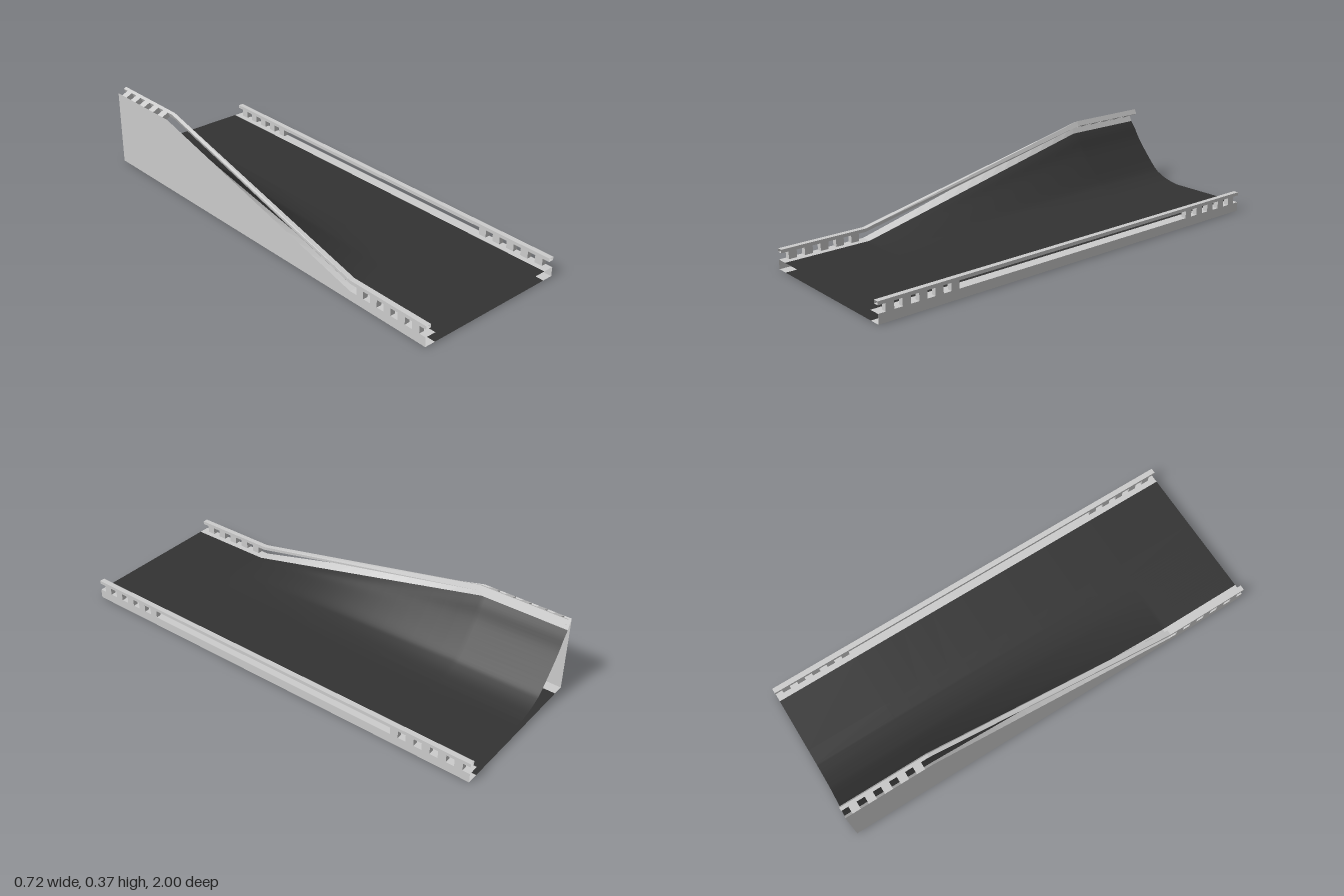
import * as THREE from 'three';

const HALF = 0.36, INNER = 0.31, DECK = 0.042, RAIL_W = 0.024;
const grey = new THREE.MeshStandardMaterial({ color: 0xcccccc, side: THREE.DoubleSide });
const dark = new THREE.MeshStandardMaterial({ color: 0x333333, side: THREE.DoubleSide });

// 0 on the flat front, 1 on the fully banked rear, linear between
const bank = z => THREE.MathUtils.clamp((0.6 - z) / 1.2, 0, 1);

// Point on an edge: s inward from the outer edge, h above the kerb; the right-hand (-x) edge banks
function edgePoint(side, s, h, z) {
  const flat = new THREE.Vector3(side * (HALF - s), DECK + h, z);
  if (side > 0) return flat;
  const raised = new THREE.Vector3(-HALF + 0.42 * s + 0.91 * h, 0.35 - 0.91 * s + 0.42 * h, z);
  return flat.lerp(raised, bank(z));
}

// Skin through cross-sections taken at each station
function sweep(section, stations, { smooth = false, flip = false } = {}) {
  const rows = stations.map(section), n = rows[0].length, index = [];
  for (let j = 0; j < rows.length - 1; j++) {
    for (let i = 0; i < n - 1; i++) {
      const a = j * n + i, b = a + 1, c = a + n, d = c + 1;
      index.push(...(flip ? [a, c, b, b, c, d] : [a, b, c, b, d, c]));
    }
  }
  let geo = new THREE.BufferGeometry().setFromPoints(rows.flat());
  geo.setIndex(index);
  if (!smooth) geo = geo.toNonIndexed();
  geo.computeVertexNormals();
  return geo;
}

export function createModel() {
  const model = new THREE.Group();
  model.name = 'bankedTrack';
  const add = (name, geo, mat, parent = model) => {
    const mesh = new THREE.Mesh(geo, mat);
    mesh.name = name;
    parent.add(mesh);
  };

  const stations = [1, 0.62];
  for (let i = 0; i <= 16; i++) stations.push(0.6 - 1.2 * i / 16);
  stations.push(-0.62, -1);

  // Road surface, curling up along one edge towards the rear
  const curve = new THREE.SplineCurve([
    [-0.339, 0.3045], [-0.315, 0.275], [-0.28, 0.222], [-0.22, 0.152],
    [-0.165, 0.095], [-0.13, 0.073], [-0.08, 0.054], [-0.02, DECK],
  ].map(p => new THREE.Vector2(...p))).getPoints(28);
  const road = z => [
    ...curve.map(p => {
      const flatX = -INNER + (p.x + 0.339) * (INNER - 0.02) / 0.319;
      return new THREE.Vector3(flatX, DECK, z).lerp(new THREE.Vector3(p.x, p.y, z), bank(z));
    }),
    new THREE.Vector3(0.05, DECK, z),
    new THREE.Vector3(INNER, DECK, z),
  ];
  add('roadSurface', sweep(road, stations, { smooth: true }), dark);

  // Flat underside
  add('underside', sweep(z => [
    new THREE.Vector3(INNER, 0, z), new THREE.Vector3(-INNER, 0, z),
  ], [1, -1]), dark);

  for (const side of [-1, 1]) {
    const edge = new THREE.Group();
    edge.name = side < 0 ? 'bankedEdge' : 'flatEdge';
    model.add(edge);
    const flip = side > 0;

    // Kerb shell: bottom strip, outer wall, top strip
    add('kerb', sweep(z => [
      new THREE.Vector3(side * INNER, 0, z),
      new THREE.Vector3(side * HALF, 0, z),
      edgePoint(side, 0, 0, z),
      edgePoint(side, 0.05, 0, z),
    ], stations, { flip }), grey, edge);

    // Open-ended guard rail
    const corners = [[0, 0.075], [0, 0.09], [RAIL_W, 0.09], [RAIL_W, 0.075], [0, 0.075]];
    add('guardRail', sweep(
      z => corners.map(([s, y]) => edgePoint(side, s, y - DECK, z)),
      [1, 0.6, -0.6, -1], { flip }), grey, edge);

    // Five short posts at each end
    for (const end of [-1, 1]) {
      for (let i = 0; i < 5; i++) {
        const geo = new THREE.BoxGeometry(1, 1, 1);
        const pos = geo.attributes.position;
        for (let k = 0; k < pos.count; k++) {
          const s = (0.5 - side * pos.getX(k)) * RAIL_W;
          const h = (pos.getY(k) + 0.5) * 0.033;
          const z = end * (0.949 - i * 0.0735) + pos.getZ(k) * 0.037;
          const p = edgePoint(side, s, h, z);
          pos.setXYZ(k, p.x, p.y, p.z);
        }
        geo.computeVertexNormals();
        add('railPost', geo, grey, edge);
      }
    }
  }
  return model;
}
